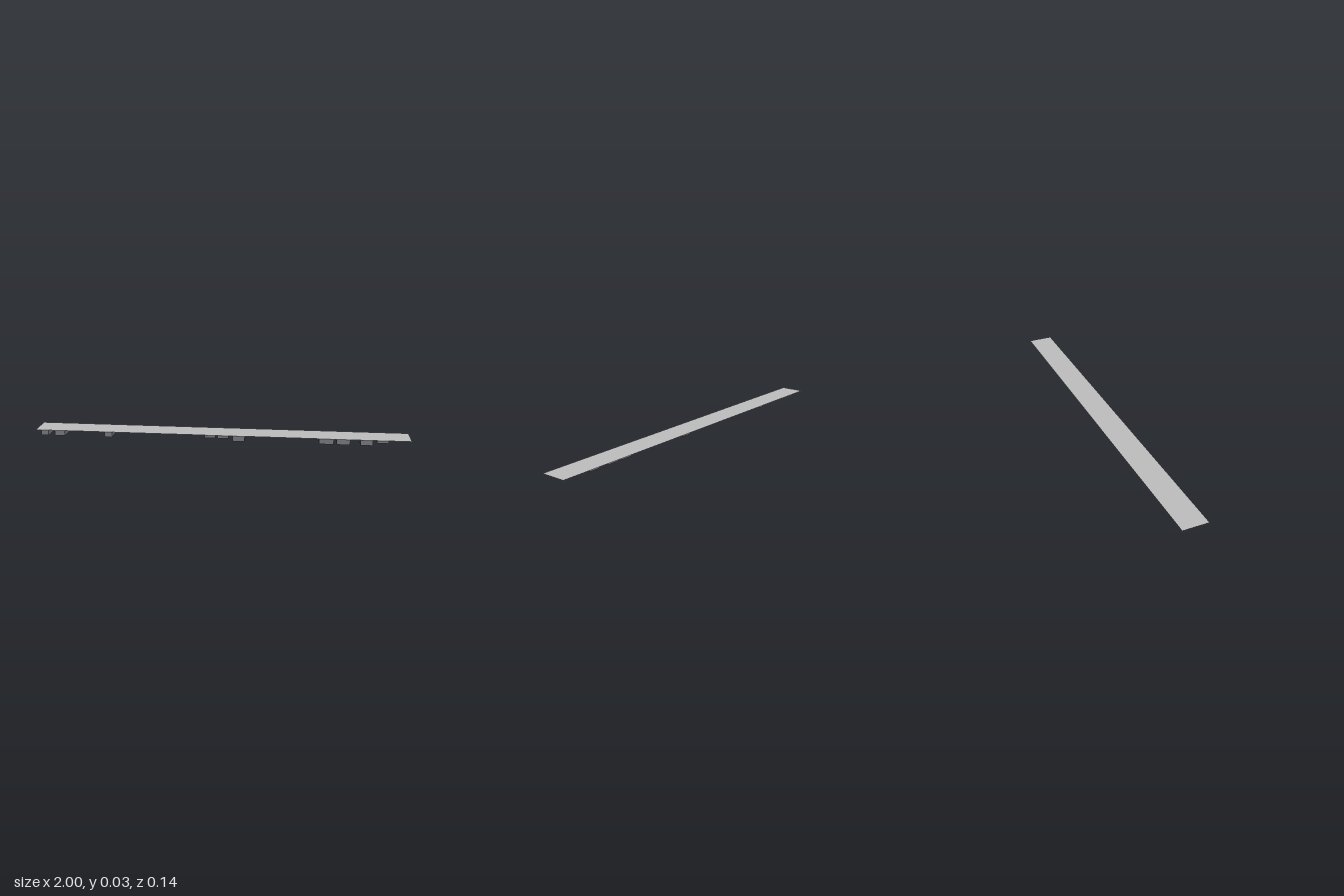
import * as THREE from 'three';

const TOP = 0.029; // height of the flat sheet

export function createModel() {
  const group = new THREE.Group();
  const sheetGrey = new THREE.MeshStandardMaterial({ color: 0xbcbcbc, side: THREE.DoubleSide });
  sheetGrey.name = 'sheetGrey';
  const blockGrey = new THREE.MeshStandardMaterial({ color: 0x727278 });
  blockGrey.name = 'blockGrey';

  // long, paper-thin sheet
  const sheet = new THREE.Mesh(new THREE.PlaneGeometry(2, 0.136).rotateX(-Math.PI / 2), sheetGrey);
  sheet.name = 'sheet';
  sheet.position.y = TOP;
  group.add(sheet);

  // box hanging below the sheet, given by its extents in x, y and z
  const hang = (name, [x0, x1], bottom, z0, z1) => {
    const top = TOP - 0.0004;
    const mesh = new THREE.Mesh(new THREE.BoxGeometry(x1 - x0, top - bottom, z1 - z0), blockGrey);
    mesh.name = name;
    mesh.position.set((x0 + x1) / 2, (top + bottom) / 2, (z0 + z1) / 2);
    group.add(mesh);
  };

  // each kind: bottom height, back z, front z, and the x spans where it occurs
  const kinds = {
    tallBlock: [0, -0.023, 0.068, [[-0.97, -0.93], [-0.895, -0.84], [-0.62, -0.58], [0.07, 0.134],
      [0.524, 0.6], [0.615, 0.685], [0.738, 0.802]]],
    lowBlock: [0.014, -0.023, 0.068, [[-0.08, -0.021], [-0.01, 0.048], [0.823, 0.882]]],
    smallBlock: [0.018, -0.012, 0.038, [[-0.778, -0.746], [-0.134, -0.102], [0.444, 0.473]]],
    tinyBlock: [0.019, -0.004, 0.022, [[0.342, 0.369]]],
    thinPad: [0.021, -0.005, 0.028, [[-0.709, -0.673], [-0.669, -0.634], [0.89, 0.926], [0.93, 0.965]]],
  };
  for (const [name, [bottom, z0, z1, spans]] of Object.entries(kinds)) {
    spans.forEach((span, i) => hang(`${name}${i + 1}`, span, bottom, z0, z1));
  }
  return group;
}
